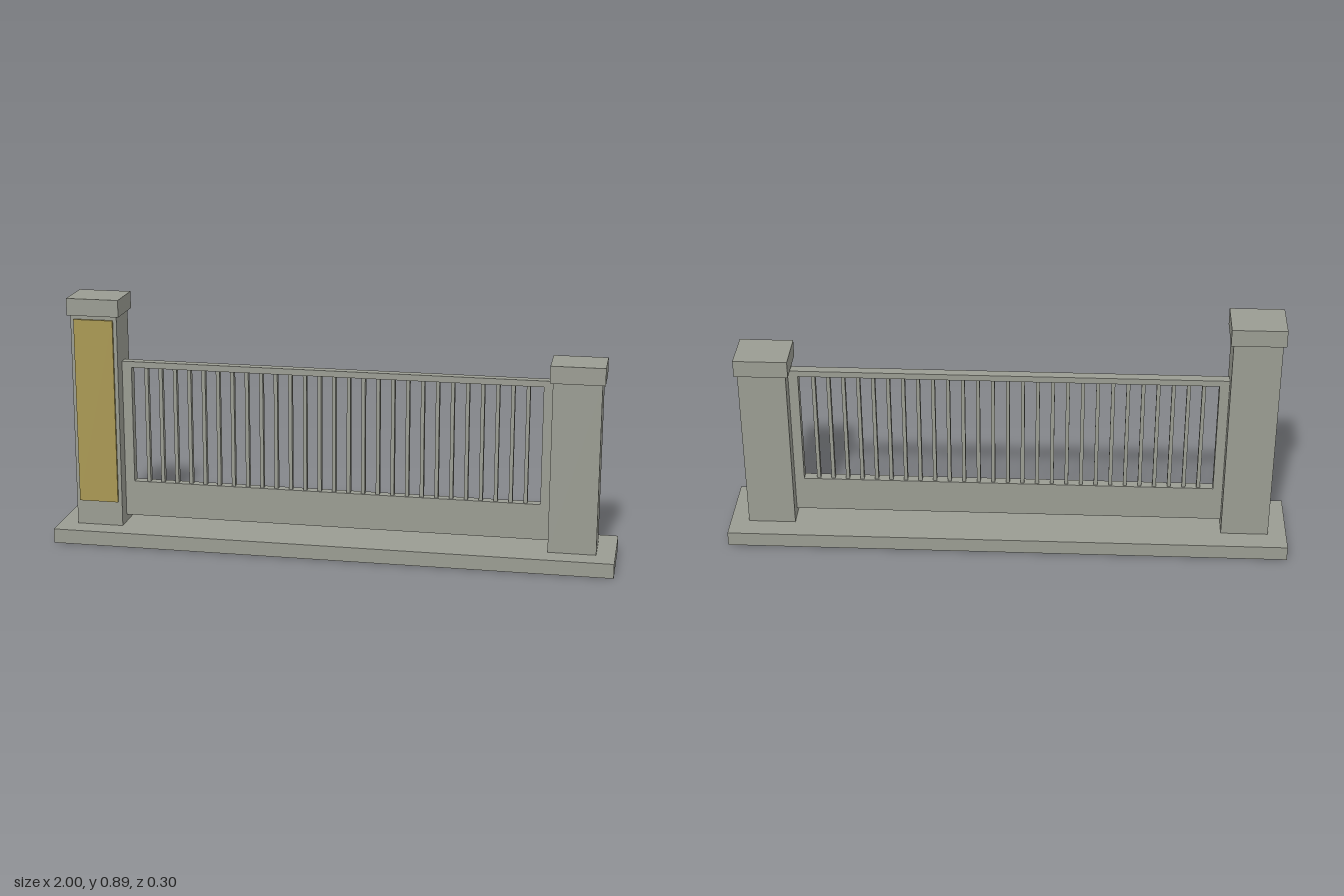
import * as THREE from 'three';

export function createModel() {
  const model = new THREE.Group();
  model.name = 'gate';
  const stone = new THREE.MeshStandardMaterial({ color: 0x9a9c92 });
  stone.name = 'grey';
  const brass = new THREE.MeshStandardMaterial({ color: 0xa99853 });
  brass.name = 'ochre';

  // Box given by its extents on each axis
  function box(name, [x0, x1], [y0, y1], [z0, z1], material = stone, parent = model) {
    const mesh = new THREE.Mesh(new THREE.BoxGeometry(x1 - x0, y1 - y0, z1 - z0), material);
    mesh.position.set((x0 + x1) / 2, (y0 + y1) / 2, (z0 + z1) / 2);
    mesh.name = name;
    parent.add(mesh);
  }

  box('base', [-1, 1], [0, 0.052], [-0.15, 0.15]);

  // Posts with overhanging caps; the right one is taller
  for (const [side, x, top] of [['right', -0.85, 0.825], ['left', 0.85, 0.66]]) {
    box(side + 'Post', [x - 0.084, x + 0.084], [0.052, top], [-0.069, 0.069]);
    box(side + 'PostCap', [x - 0.094, x + 0.094], [top, top + 0.061], [-0.079, 0.079]);
  }

  // Plate on the front of the taller post
  box('postPlate', [-0.921, -0.779], [0.142, 0.811], [0.069, 0.077], brass);

  // Gate leaf between the posts
  const leaf = new THREE.Group();
  leaf.name = 'gateLeaf';
  model.add(leaf);
  const depth = [-0.017, 0.017];
  box('bottomPanel', [-0.766, 0.766], [0.078, 0.207], depth, stone, leaf);
  box('topRail', [-0.766, 0.766], [0.63, 0.652], depth, stone, leaf);
  box('rightStile', [-0.766, -0.732], [0.207, 0.63], depth, stone, leaf);
  box('leftStile', [0.732, 0.766], [0.207, 0.63], depth, stone, leaf);

  // Evenly spaced bars
  const count = 27;
  for (let i = 1; i <= count; i++) {
    const x = -0.732 + (1.464 * i) / (count + 1);
    box('bar' + i, [x - 0.0065, x + 0.0065], [0.207, 0.63], [-0.011, 0.011], stone, leaf);
  }
  return model;
}
